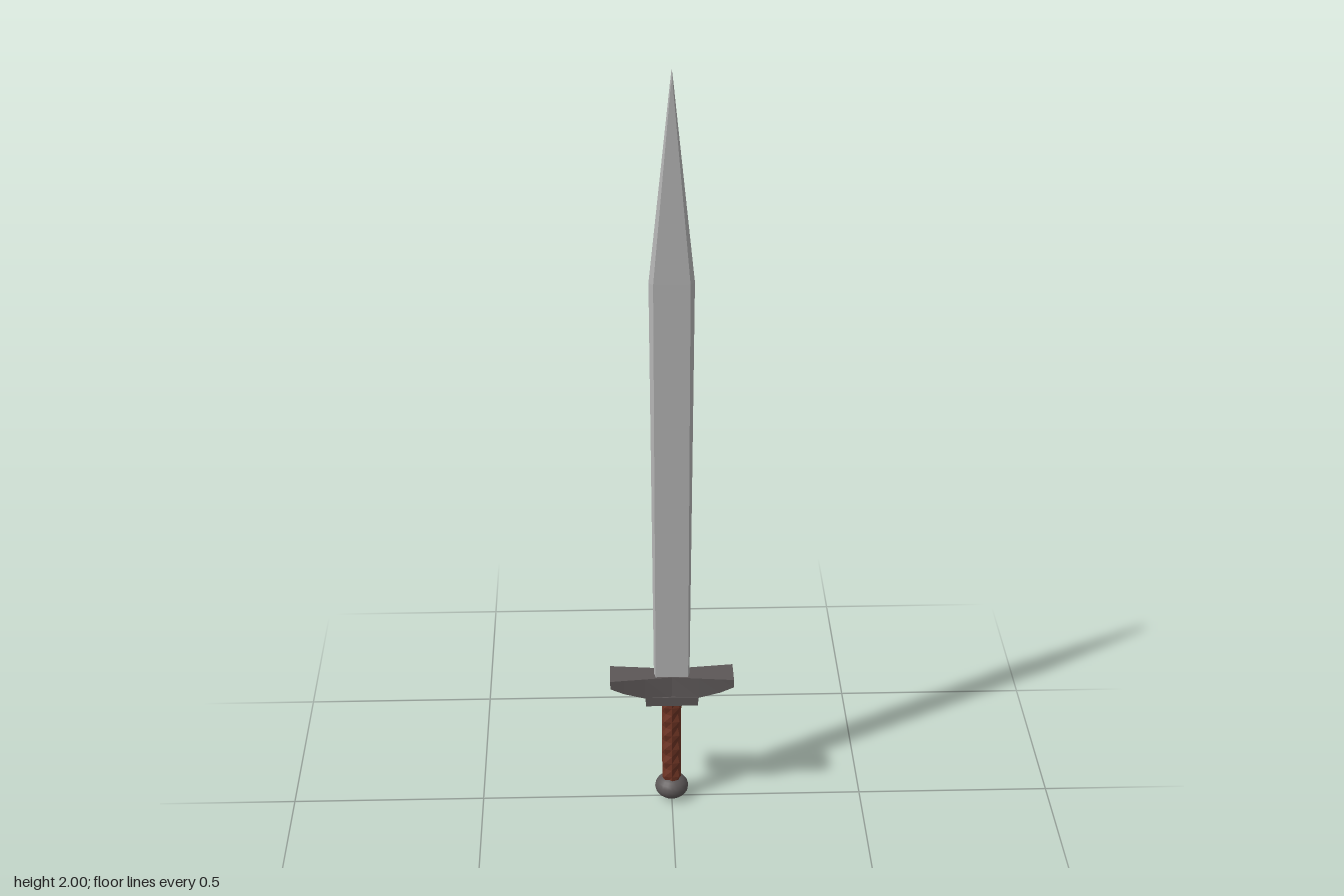
import * as THREE from 'three';

// Skin a list of rings (arrays of [x, y, z]) running along an axis, with end caps
function loft(rings) {
  const n = rings[0].length, pos = rings.flat(2), idx = [];
  for (let r = 0; r < rings.length - 1; r++) {
    for (let i = 0; i < n; i++) {
      const j = (i + 1) % n, a = r * n + i, b = r * n + j;
      idx.push(a, b, b + n, a, b + n, a + n);
    }
  }
  const last = (rings.length - 1) * n;
  for (let i = 1; i < n - 1; i++) {
    idx.push(0, i + 1, i, last, last + i, last + i + 1);
  }
  const indexed = new THREE.BufferGeometry();
  indexed.setAttribute('position', new THREE.Float32BufferAttribute(pos, 3));
  indexed.setIndex(idx);
  const geo = indexed.toNonIndexed();
  geo.computeVertexNormals();
  return geo;
}

export function createModel() {
  const group = new THREE.Group();
  const add = (name, geo, color, flatShading = true) => {
    const mesh = new THREE.Mesh(geo, new THREE.MeshStandardMaterial({ color, flatShading }));
    mesh.name = name;
    group.add(mesh);
    return mesh;
  };
  const steel = 0xb4b4b4, iron = 0x5c5757, leather = 0x6e3424;

  // Blade: bevelled section [y, edge half width, flat half width, half thickness]
  const blade = [
    [0.34, 0.046, 0.042, 0.02],
    [1.47, 0.056, 0.045, 0.015],
    [1.97, 0.004, 0.002, 0.009],
    [2.0, 0.0005, 0.0003, 0.001],
  ].map(([y, e, f, t]) => [
    [0, y, t], [f, y, t], [e, y, 0], [f, y, -t],
    [0, y, -t], [-f, y, -t], [-e, y, 0], [-f, y, t],
  ]);
  add('blade', loft(blade), steel);

  // Crossguard: flat top, bowed underside, flaring towards both ends
  const half = [[0, 0.315, 0.022, 0.029], [0.07, 0.322, 0.03, 0.033],
    [0.125, 0.339, 0.036, 0.037], [0.16, 0.356, 0.04, 0.04]]; // [x, bottom, top depth, bottom depth]
  const mirrored = half.slice(1).reverse().map(([x, ...rest]) => [-x, ...rest]);
  const guard = [...mirrored, ...half].map(([x, b, zt, zb]) => [
    [x, 0.378, -zt], [x, 0.378, zt], [x, b, zb], [x, b, -zb],
  ]);
  add('crossguard', loft(guard), iron);

  // Collar below the guard
  const collar = add('collar', new THREE.BoxGeometry(0.136, 0.025, 0.066), iron);
  collar.position.y = 0.311;

  // Grip: octagonal, notched along the diagonal edges
  const grip = [];
  for (let k = 0; k <= 12; k++) {
    const y = 0.05 + k * 0.255 / 12;
    grip.push(Array.from({ length: 8 }, (_, i) => {
      const a = i * Math.PI / 4;
      const r = i % 2 ? (k % 2 ? 0.028 : 0.022) : 0.025;
      return [Math.sin(a) * r, y, Math.cos(a) * r];
    }));
  }
  add('grip', loft(grip), leather);

  // Pommel: slightly squashed ball
  const pommel = add('pommel', new THREE.SphereGeometry(0.044, 20, 12), iron, false);
  pommel.scale.y = 0.75;
  pommel.position.y = 0.033;

  return group;
}
